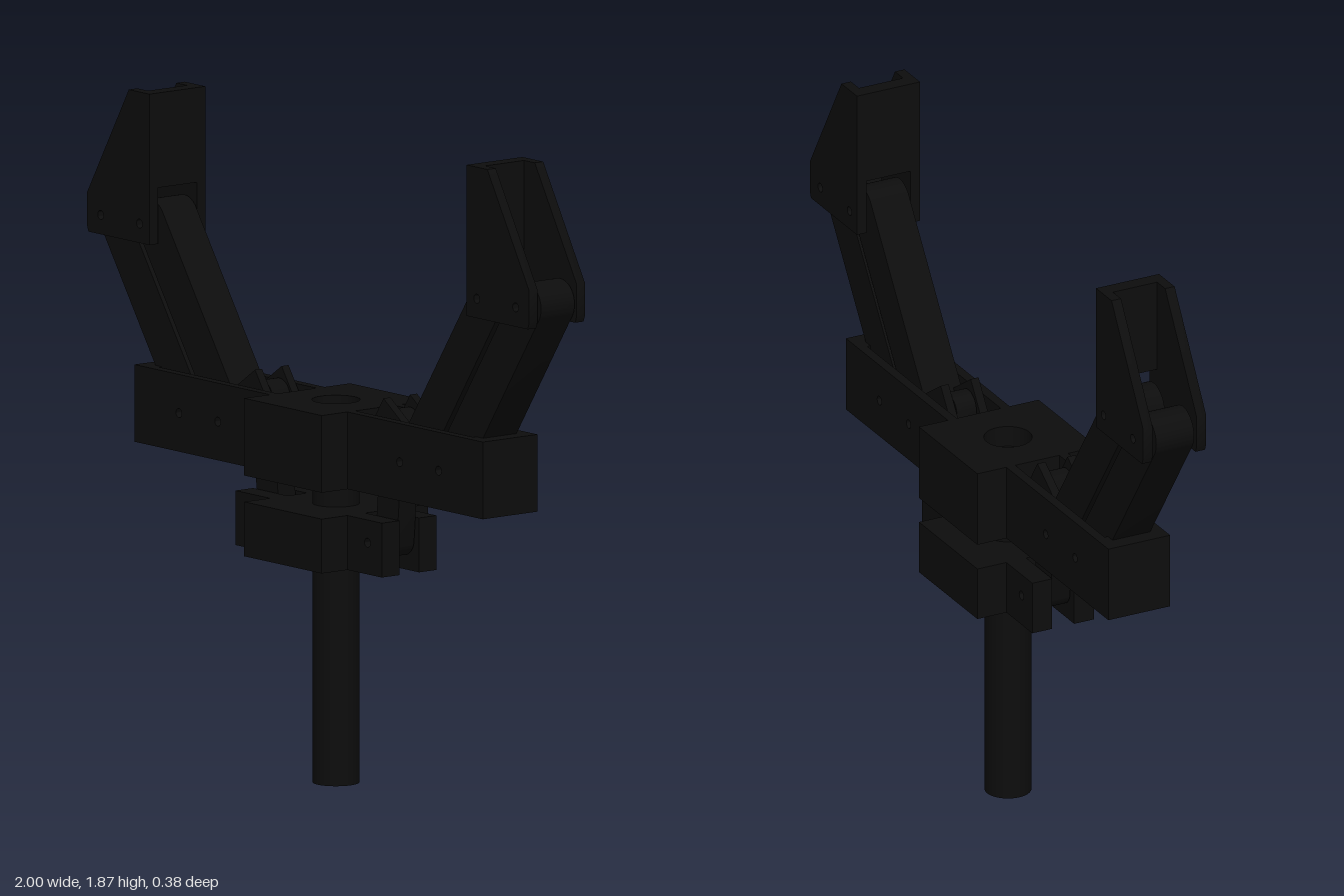
import * as THREE from 'three';
import { toCreasedNormals } from 'three/addons/utils/BufferGeometryUtils.js';

const material = new THREE.MeshStandardMaterial({ color: 0x0d0d0d });
const HOLE = 0.013; // pin hole radius

function mesh(name, geometry, parent) {
  const m = new THREE.Mesh(geometry, material);
  m.name = name;
  parent.add(m);
  return m;
}

function polygon(points) {
  return new THREE.Shape(points.map(([x, y]) => new THREE.Vector2(x, y)));
}

function drill(shape, holes, radius = HOLE) {
  for (const [x, y] of holes) {
    shape.holes.push(new THREE.Path().absarc(x, y, radius, 0, Math.PI * 2, true));
  }
  return shape;
}

// Extrude a shape so that it spans z0 to z1
function slab(shape, z0, z1) {
  const g = new THREE.ExtrudeGeometry(shape, { depth: z1 - z0, bevelEnabled: false, curveSegments: 16 });
  g.translate(0, 0, z0);
  return toCreasedNormals(g, 0.6);
}

// The same plate in front and behind
function platePair(name, shape, z0, z1, parent) {
  mesh(name + 'Front', slab(shape, z0, z1), parent);
  mesh(name + 'Back', slab(shape, -z1, -z0), parent);
}

const rect = (x0, y0, x1, y1) => polygon([[x0, y0], [x1, y0], [x1, y1], [x0, y1]]);

function box(name, x0, x1, y0, y1, z, parent) {
  const g = new THREE.BoxGeometry(x1 - x0, y1 - y0, 2 * z);
  g.translate((x0 + x1) / 2, (y0 + y1) / 2, 0);
  return mesh(name, g, parent);
}

// Round-ended bar along local x, pivoting at its origin
function barShape(length, w) {
  const s = new THREE.Shape();
  s.moveTo(0, -w);
  s.lineTo(length, -w);
  s.absarc(length, 0, w, -Math.PI / 2, Math.PI / 2, false);
  s.lineTo(0, w);
  s.absarc(0, 0, w, Math.PI / 2, Math.PI * 1.5, false);
  return drill(s, [[0, 0], [length, 0]]);
}

// Bar with a square-ended crank arm at the pivot
function crankShape(length, w, arm, pin) {
  const s = new THREE.Shape();
  s.moveTo(0, -w);
  s.lineTo(length, -w);
  s.absarc(length, 0, w, -Math.PI / 2, Math.PI / 2, false);
  s.lineTo(w, w);
  s.lineTo(w, arm);
  s.lineTo(-w, arm);
  s.lineTo(-w, 0);
  s.absarc(0, 0, w, Math.PI, Math.PI * 1.5, false);
  return drill(s, [[0, 0], [length, 0], [0, pin]]);
}

function place(group, from, to) {
  group.position.set(from[0], from[1], 0);
  group.rotation.z = Math.atan2(to[1] - from[1], to[0] - from[0]);
}

// One half of the gripper, reaching towards +x
function buildSide(name) {
  const side = new THREE.Group();
  side.name = name;
  const innerLow = [0.41, 0.98], outerLow = [0.585, 0.98];
  const innerTop = [0.76, 1.495], outerTop = [0.935, 1.495];
  const slidePin = [0.265, 0.73];
  const length = Math.hypot(innerTop[0] - innerLow[0], innerTop[1] - innerLow[1]);

  // Slotted housing arm
  platePair('housingPlate', drill(rect(0.175, 0.87, 0.785, 1.09), [innerLow, outerLow]), 0.07, 0.098, side);
  box('housingEnd', 0.71, 0.785, 0.87, 1.09, 0.07, side);

  // Forked slider arm
  platePair('sliderFork', drill(rect(0.175, 0.64, 0.33, 0.795), [slidePin]), 0.035, 0.098, side);

  // Outer parallel link
  const outer = new THREE.Group();
  outer.name = 'outerLink';
  place(outer, outerLow, outerTop);
  mesh('outerBar', slab(barShape(length, 0.065), -0.06, 0.06), outer);
  side.add(outer);

  // Inner link with its forked crank
  const inner = new THREE.Group();
  inner.name = 'innerLink';
  place(inner, innerLow, innerTop);
  mesh('innerBar', slab(barShape(length, 0.065), -0.035, 0.035), inner);
  platePair('crankCheek', crankShape(length, 0.065, 0.19, 0.14), 0.035, 0.06, inner);
  side.add(inner);

  // Short link from the slider up to the crank
  const a = inner.rotation.z;
  const crankPin = [innerLow[0] - 0.14 * Math.sin(a), innerLow[1] + 0.14 * Math.cos(a)];
  const short = new THREE.Group();
  short.name = 'connectingLink';
  place(short, slidePin, crankPin);
  const span = Math.hypot(crankPin[0] - slidePin[0], crankPin[1] - slidePin[1]);
  mesh('connectingBar', slab(barShape(span, 0.048), -0.031, 0.031), short);
  side.add(short);

  // Jaw: two cheeks joined by a gripping wall
  const jaw = drill(polygon([
    [0.715, 1.44], [0.99, 1.44], [0.997, 1.46], [0.997, 1.55], [0.808, 1.87], [0.715, 1.87],
  ]), [innerTop, outerTop]);
  platePair('jawCheek', jaw, 0.07, 0.1, side);
  box('jawWall', 0.715, 0.76, 1.6, 1.87, 0.07, side);
  return side;
}

export function createModel() {
  const model = new THREE.Group();
  model.name = 'gripper';

  // Central housing block with the shaft bore
  const top = drill(rect(-0.175, -0.19, 0.175, 0.19), [[0, 0]], 0.068);
  const housing = slab(top, 0.87, 1.09);
  housing.rotateX(-Math.PI / 2);
  mesh('housingBlock', housing, model);

  // Slider block and shaft
  box('sliderBlock', -0.175, 0.175, 0.64, 0.795, 0.19, model);
  const shaft = new THREE.CylinderGeometry(0.066, 0.066, 1.03, 40);
  shaft.translate(0, 0.515, 0);
  mesh('shaft', shaft, model);

  // The half is symmetric in z, so a half turn mirrors it
  const right = buildSide('rightSide');
  right.rotation.y = Math.PI;
  model.add(buildSide('leftSide'), right);
  return model;
}
